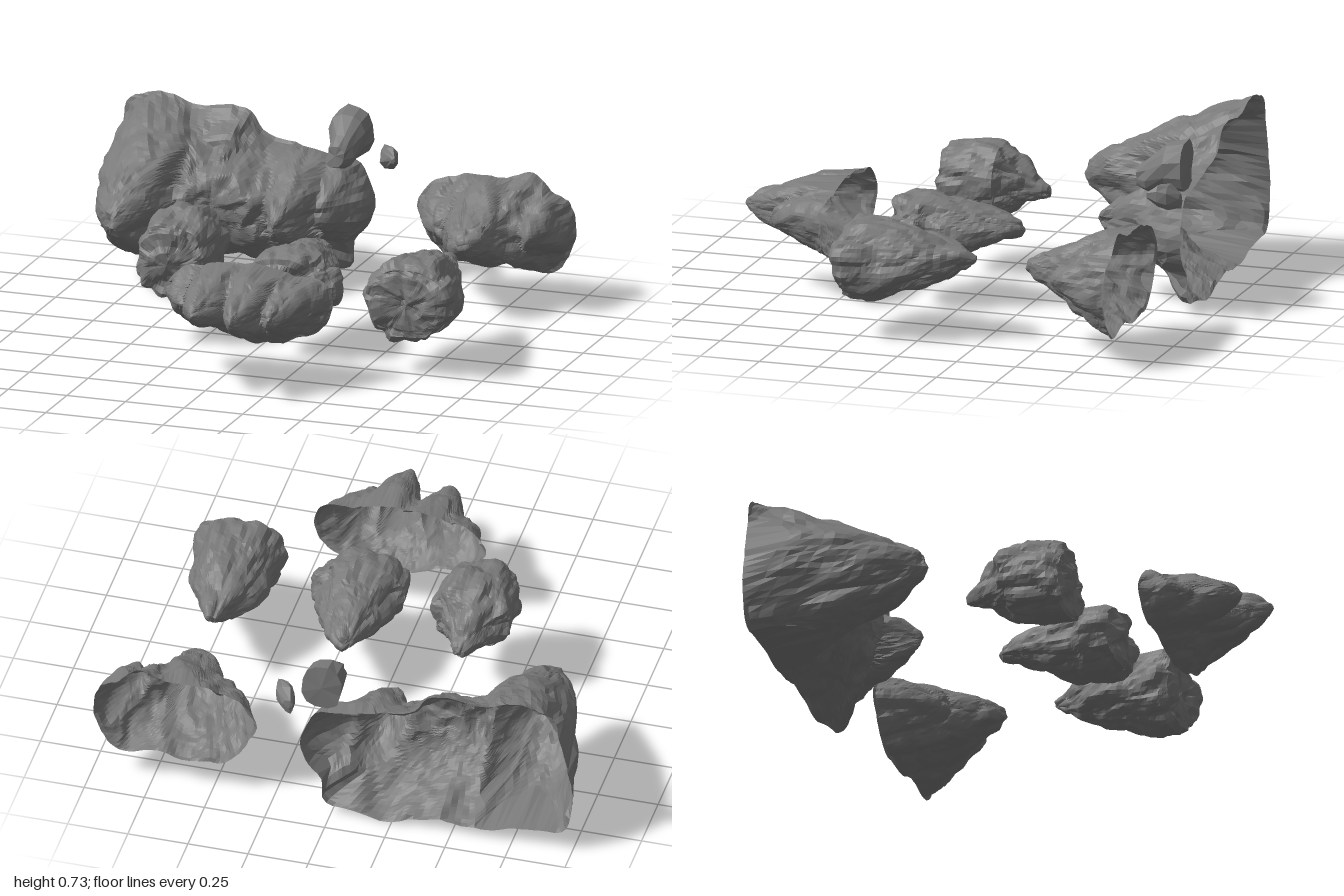
import * as THREE from 'three';
import { mergeVertices } from 'three/addons/utils/BufferGeometryUtils.js';

const material = new THREE.MeshStandardMaterial({ color: 0x7a7a7a, flatShading: true, side: THREE.DoubleSide });

const hash = (x, y, z, k) => {
  const s = Math.sin(x * 127.1 + y * 311.7 + z * 74.7 + k * 53.3) * 43758.5453;
  return s - Math.floor(s);
};

// Cellular noise: the highest of many tilted, flat-sided plates, like split stone with creases between
function plates(x, y, z) {
  const cx = Math.floor(x), cy = Math.floor(y), cz = Math.floor(z);
  let top = -2;
  for (let i = cx - 1; i <= cx + 1; i++)
    for (let j = cy - 1; j <= cy + 1; j++)
      for (let k = cz - 1; k <= cz + 1; k++) {
        const dx = x - i - hash(i, j, k, 1), dy = y - j - hash(i, j, k, 2), dz = z - k - hash(i, j, k, 3);
        const tilt = (hash(i, j, k, 5) - 0.5) * dx + (hash(i, j, k, 6) - 0.5) * dy + (hash(i, j, k, 7) - 0.3) * dz;
        const fall = 1.8 * Math.max(0, Math.max(Math.abs(dx + 0.3 * dy), Math.abs(dy - 0.3 * dx), Math.abs(dz)) - 0.3);
        top = Math.max(top, hash(i, j, k, 4) + tilt - fall);
      }
  return top - 0.6;
}

// Skin rings of points, running toward +z, then chip the surface along its normals
function rockMesh(name, rings, amp, cell, rimZ = -Infinity) {
  const n = rings[0].length, pos = [], index = [];
  rings.forEach((ring) => ring.forEach((p) => pos.push(p.x, p.y, p.z)));
  for (let i = 0; i < rings.length - 1; i++)
    for (let j = 0; j < n; j++) {
      const a = i * n + j, b = i * n + (j + 1) % n;
      index.push(a, b, a + n, b, b + n, a + n);
    }
  let geo = new THREE.BufferGeometry();
  geo.setAttribute('position', new THREE.Float32BufferAttribute(pos, 3));
  geo.setIndex(index);
  geo = mergeVertices(geo, 1e-5);
  geo.computeVertexNormals();
  const P = geo.attributes.position, N = geo.attributes.normal;
  for (let i = 0; i < P.count; i++) {
    const x = P.getX(i), y = P.getY(i), z = P.getZ(i);
    const onRim = z <= rimZ + 1e-4;
    const d = amp * (onRim ? 0.5 : 1) * (plates(x / cell, y / cell, z / (cell * 2.2))
      + 0.3 * plates(x / cell * 2 + 9, y / cell * 2, z / cell));
    P.setXYZ(i, x + d * N.getX(i), y + d * N.getY(i), onRim ? rimZ : Math.max(rimZ, z + d * N.getZ(i)));
  }
  geo.computeVertexNormals();
  const mesh = new THREE.Mesh(geo, material);
  mesh.name = name;
  return mesh;
}

// Open-backed crag: an outline at z = back rising toward +z into peaks
// peaks: [x, y, height, radiusX, radiusY]
function crag(name, outline, center, back, swell, peaks, amp, cell) {
  const curve = new THREE.CatmullRomCurve3(outline.map(([x, y]) => new THREE.Vector3(x, y, 0)), true, 'centripetal');
  const rim = curve.getSpacedPoints(110).slice(0, -1);
  const rings = [], steps = 44;
  for (let i = 0; i <= steps; i++) {
    const s = 1 - i / steps;
    rings.push(rim.map((p) => {
      const x = center[0] + (p.x - center[0]) * s, y = center[1] + (p.y - center[1]) * s;
      let h = swell * (1 - s ** 2.2);
      for (const [px, py, ph, rx, ry] of peaks) {
        const g = (Math.abs((x - px) / rx) ** 2.3 + Math.abs((y - py) / ry) ** 2.3) ** (1 / 2.3);
        if (g < 1) h = Math.max(h, ph * (1 - g ** 1.8));
      }
      return new THREE.Vector3(x, y, i === 0 ? back : back + h);
    }));
  }
  return rockMesh(name, rings, amp, cell, back);
}

// Closed boulder: cross-sections [z, centerX, centerY, radiusX, radiusY] from its -z tip to its base
function boulder(name, sections, amp, cell, n = 64, sub = 5) {
  const rings = [];
  for (let i = 0; i < sections.length - 1; i++)
    for (let k = 0; k < sub + (i === sections.length - 2 ? 1 : 0); k++) {
      const [z, cx, cy, rx, ry] = sections[i].map((v, m) => THREE.MathUtils.lerp(v, sections[i + 1][m], k / sub));
      rings.push(Array.from({ length: n }, (_, j) => {
        const a = (j + 0.5) / n * Math.PI * 2, c = Math.cos(a), s = Math.sin(a);
        return new THREE.Vector3(cx + rx * Math.sign(c) * Math.abs(c) ** 0.85, cy + ry * Math.sign(s) * Math.abs(s) ** 0.85, z);
      }));
    }
  return rockMesh(name, rings, amp, cell);
}

export function createModel() {
  const group = new THREE.Group();
  group.name = 'rockFormations';

  // Large two-peaked crag
  group.add(crag('largeCrag', [
    [0.12, 0.36], [0.08, 0.48], [-0.05, 0.51], [-0.2, 0.55], [-0.33, 0.58], [-0.42, 0.67], [-0.6, 0.66], [-0.76, 0.7],
    [-0.93, 0.66], [-0.96, 0.5], [-1.0, 0.34], [-0.97, 0.1], [-0.84, 0.07], [-0.62, 0.04], [-0.42, 0.05],
    [-0.25, 0.0], [-0.1, 0.02], [0.02, 0.05], [0.05, 0.17], [0.11, 0.24],
  ], [-0.45, 0.34], -0.9, 0.33, [
    [-0.75, 0.34, 0.71, 0.26, 0.35], [-0.58, 0.36, 0.4, 0.32, 0.29],
    [-0.15, 0.31, 0.46, 0.17, 0.24], [-0.03, 0.32, 0.25, 0.16, 0.22],
  ], 0.035, 0.11));

  // Single-peaked crag
  group.add(crag('smallCrag', [
    [1.0, 0.34], [0.97, 0.43], [0.9, 0.46], [0.82, 0.53], [0.68, 0.5], [0.5, 0.5], [0.38, 0.46], [0.31, 0.35],
    [0.37, 0.23], [0.45, 0.13], [0.6, 0.12], [0.75, 0.14], [0.9, 0.11], [0.98, 0.22],
  ], [0.66, 0.33], -0.87, 0.28, [
    [0.66, 0.33, 0.44, 0.21, 0.19], [0.87, 0.33, 0.26, 0.125, 0.17], [0.5, 0.33, 0.26, 0.17, 0.17],
  ], 0.03, 0.1));

  // Three-pronged crag at the front
  group.add(crag('frontCrag', [
    [0.46, 0.33], [0.42, 0.43], [0.28, 0.45], [0.12, 0.48], [-0.02, 0.47], [-0.18, 0.43], [-0.26, 0.34],
    [-0.2, 0.23], [-0.05, 0.2], [0.1, 0.15], [0.28, 0.17], [0.4, 0.22],
  ], [0.11, 0.33], 0.51, 0.21, [
    [-0.02, 0.34, 0.36, 0.14, 0.14], [0.165, 0.345, 0.42, 0.13, 0.16], [0.28, 0.33, 0.28, 0.13, 0.14],
    [-0.13, 0.33, 0.19, 0.12, 0.11],
  ], 0.025, 0.09));

  // Three free-standing boulders in the middle row
  group.add(boulder('leftBoulder', [
    [-0.2, -0.33, 0.35, 0, 0], [-0.19, -0.33, 0.35, 0.025, 0.03], [-0.1, -0.33, 0.37, 0.085, 0.085],
    [-0.05, -0.33, 0.38, 0.12, 0.12], [0.0, -0.335, 0.385, 0.165, 0.155], [0.1, -0.335, 0.385, 0.165, 0.175],
    [0.2, -0.34, 0.37, 0.16, 0.165], [0.24, -0.34, 0.36, 0.15, 0.155], [0.26, -0.34, 0.35, 0.13, 0.13],
    [0.265, -0.34, 0.35, 0, 0],
  ], 0.035, 0.085));
  group.add(boulder('middleBoulder', [
    [-0.24, 0.13, 0.33, 0, 0], [-0.23, 0.13, 0.33, 0.03, 0.03], [-0.15, 0.145, 0.33, 0.075, 0.06],
    [-0.05, 0.155, 0.32, 0.125, 0.1], [0.05, 0.17, 0.31, 0.155, 0.125], [0.11, 0.17, 0.31, 0.165, 0.135],
    [0.15, 0.17, 0.31, 0.2, 0.14], [0.23, 0.17, 0.31, 0.195, 0.135], [0.28, 0.15, 0.31, 0.16, 0.12],
    [0.3, 0.12, 0.31, 0, 0],
  ], 0.035, 0.085));
  group.add(boulder('rightBoulder', [
    [-0.24, 0.68, 0.33, 0, 0], [-0.23, 0.68, 0.33, 0.03, 0.03], [-0.13, 0.69, 0.33, 0.075, 0.075],
    [0.0, 0.69, 0.32, 0.135, 0.12], [0.1, 0.69, 0.31, 0.165, 0.15], [0.2, 0.69, 0.305, 0.18, 0.17],
    [0.28, 0.695, 0.305, 0.19, 0.17], [0.32, 0.7, 0.305, 0.17, 0.15], [0.33, 0.7, 0.305, 0.13, 0.11],
    [0.335, 0.7, 0.305, 0, 0],
  ], 0.035, 0.085));

  // Loose blocks beside the large crag
  group.add(boulder('looseBlock', [
    [-0.9, 0.04, 0.62, 0, 0], [-0.9, 0.04, 0.62, 0.085, 0.105], [-0.82, 0.04, 0.61, 0.08, 0.1],
    [-0.74, 0.035, 0.58, 0.06, 0.07], [-0.69, 0.03, 0.57, 0.045, 0.045], [-0.69, 0.03, 0.57, 0, 0],
  ], 0.02, 0.06, 12, 1));
  group.add(boulder('looseChip', [
    [-0.93, 0.17, 0.51, 0, 0], [-0.92, 0.175, 0.51, 0.025, 0.035], [-0.88, 0.195, 0.53, 0.045, 0.055],
    [-0.84, 0.21, 0.54, 0.04, 0.05], [-0.8, 0.235, 0.545, 0.015, 0.02], [-0.8, 0.235, 0.545, 0, 0],
  ], 0.012, 0.04, 8, 1));

  return group;
}
